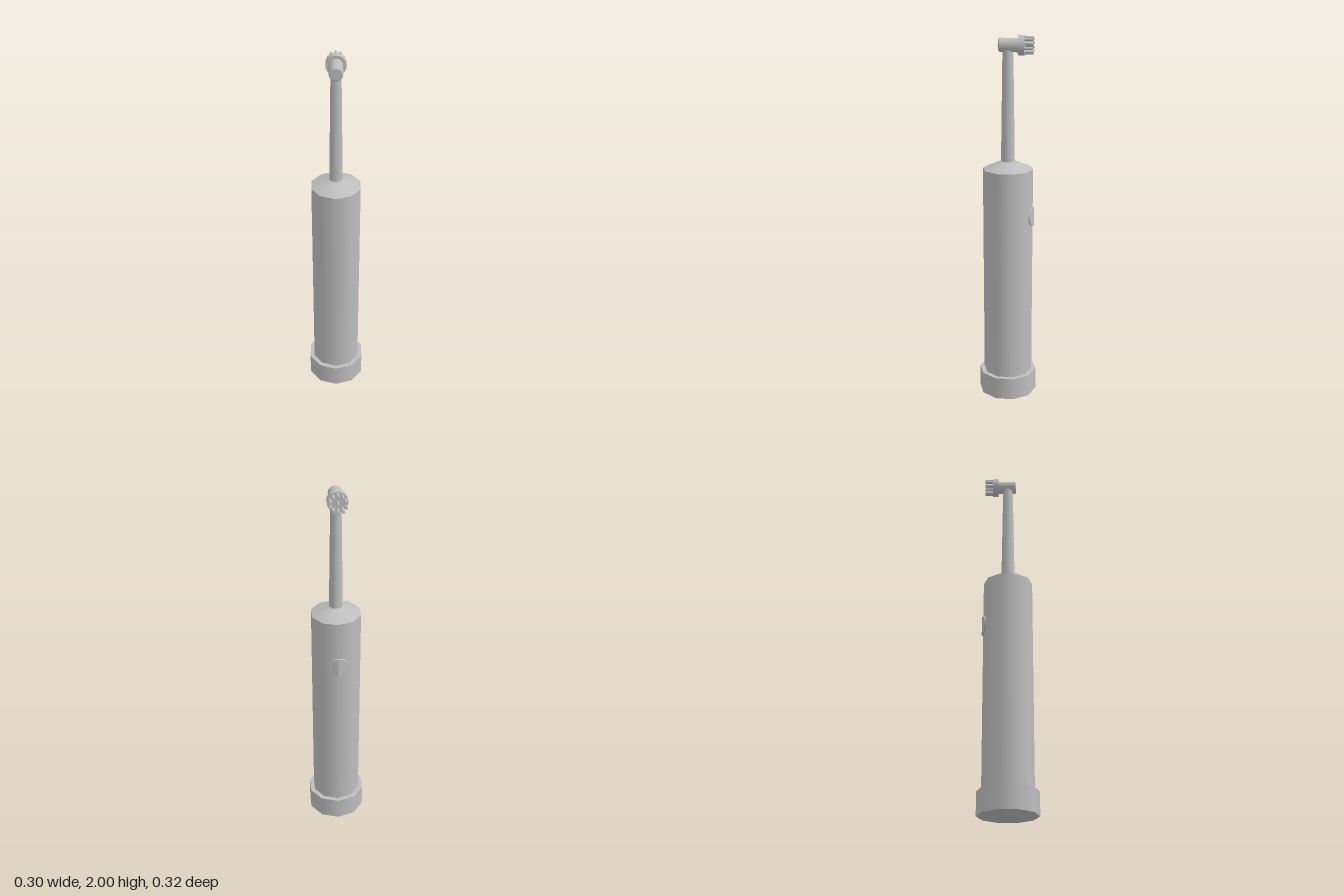
import * as THREE from 'three';

export function createModel() {
  const model = new THREE.Group();
  const grey = new THREE.MeshStandardMaterial({ color: 0xbebebe });
  grey.name = 'grey plastic';

  const SIDES = 10;
  const add = (name, geometry, parent = model) => {
    const mesh = new THREE.Mesh(geometry, grey);
    mesh.name = name;
    parent.add(mesh);
    return mesh;
  };
  // Upright tapered section between two heights
  const upright = (name, rBottom, rTop, y0, y1) =>
    add(name, new THREE.CylinderGeometry(rTop, rBottom, y1 - y0, SIDES).translate(0, (y0 + y1) / 2, 0));
  // Section lying along z, from the front end to the back end
  const lying = (rFront, rBack, zFront, zBack, sides) =>
    new THREE.CylinderGeometry(rFront, rBack, zFront - zBack, sides)
      .rotateX(Math.PI / 2).translate(0, 0, (zFront + zBack) / 2);

  // Handle and neck
  upright('base', 0.16, 0.16, 0, 0.125);
  upright('handle', 0.135, 0.135, 0.12, 1.3);
  upright('shoulder', 0.135, 0.036, 1.3, 1.342);
  upright('neck', 0.037, 0.028, 1.335, 1.95);

  // Button: a disc folded over the back corner of the handle
  const button = lying(0.055, 0.055, 0, -0.016, SIDES);
  const pos = button.attributes.position;
  for (let i = 0; i < pos.count; i++) {
    const fold = Math.abs(pos.getX(i)) * Math.tan(Math.PI / SIDES);
    pos.setZ(i, pos.getZ(i) - 0.127 + fold);
  }
  button.computeVertexNormals();
  add('button', button).position.y = 1.04;

  // Brush head
  const head = new THREE.Group();
  head.name = 'brushHead';
  head.position.y = 1.948;
  model.add(head);
  add('headBarrel', lying(0.036, 0.036, 0.042, -0.06, 16), head);
  add('headCap', lying(0.03, 0.036, 0.048, 0.042, 16), head);
  add('collar', lying(0.052, 0.052, -0.055, -0.088, 20), head);

  // Ring of bristle tufts around a centre tuft
  const tuft = lying(0.008, 0.008, -0.085, -0.133, 8);
  const bristles = new THREE.Group();
  bristles.name = 'bristles';
  head.add(bristles);
  add('centreTuft', tuft, bristles);
  for (let i = 0; i < 10; i++) {
    const a = (i / 10) * Math.PI * 2;
    add('tuft', tuft, bristles).position.set(Math.sin(a) * 0.039, Math.cos(a) * 0.039, 0);
  }
  return model;
}
